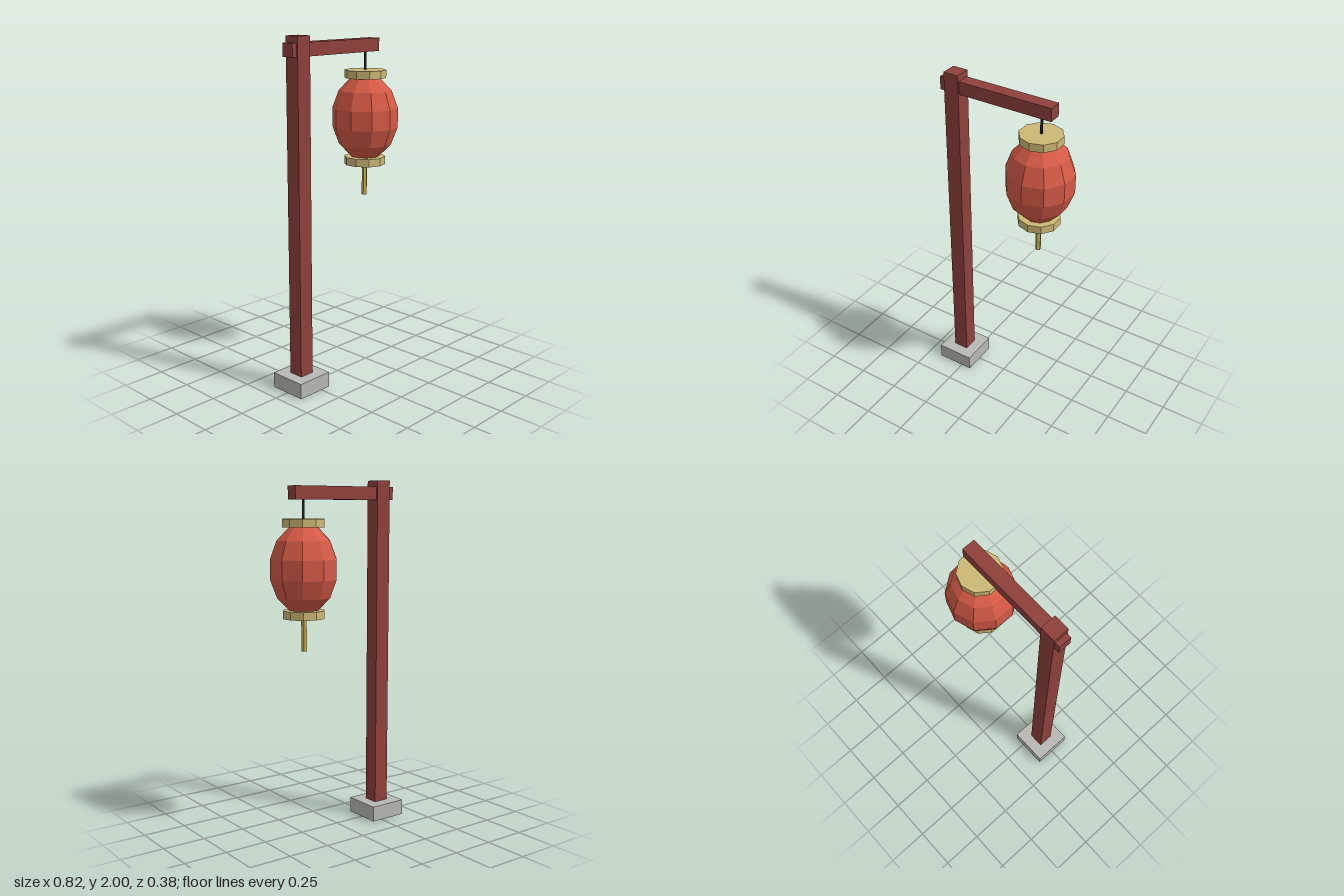
import * as THREE from 'three';

export function createModel() {
  const group = new THREE.Group();
  group.name = 'lanternPost';

  const material = (name, color) => {
    const m = new THREE.MeshStandardMaterial({ color, flatShading: true });
    m.name = name;
    return m;
  };
  const wood = material('red wood', 0x8f413c);
  const paper = material('lantern red', 0xd65a46);
  const gold = material('pale gold', 0xcdb874);
  const tasselGold = material('tassel gold', 0xcdb04e);
  const stone = material('grey stone', 0xb8b8b5);
  const dark = material('dark cord', 0x2b2b2e);

  const add = (name, geometry, mat, x, y) => {
    const mesh = new THREE.Mesh(geometry, mat);
    mesh.name = name;
    mesh.position.set(x, y, 0);
    group.add(mesh);
    return mesh;
  };

  const postX = -0.3, lanternX = 0.228, lanternY = 1.515;

  // Stone foot, upright post and cross arm
  add('base', new THREE.BoxGeometry(0.225, 0.09, 0.225), stone, postX, 0.045);
  add('post', new THREE.BoxGeometry(0.09, 1.91, 0.09), wood, postX, 1.045);
  add('arm', new THREE.BoxGeometry(0.678, 0.074, 0.074), wood, -0.036, 1.928);

  // Ten-sided paper lantern, with a corner facing front
  const body = new THREE.SphereGeometry(0.195, 10, 7);
  body.rotateY(Math.PI / 2);
  body.scale(1, 0.25 / 0.195, 1);
  add('lanternBody', body, paper, lanternX, lanternY);

  // Matching caps above and below
  for (const side of [1, -1]) {
    add(side > 0 ? 'topCap' : 'bottomCap',
      new THREE.CylinderGeometry(0.12, 0.12, 0.045, 10), gold, lanternX, lanternY + side * 0.25);
  }

  // Hanging cord and tassel
  add('cord', new THREE.CylinderGeometry(0.0075, 0.0075, 0.13, 6), dark, lanternX, 1.84);
  add('tassel', new THREE.CylinderGeometry(0.016, 0.016, 0.195, 5), tasselGold, lanternX, 1.155);

  return group;
}
